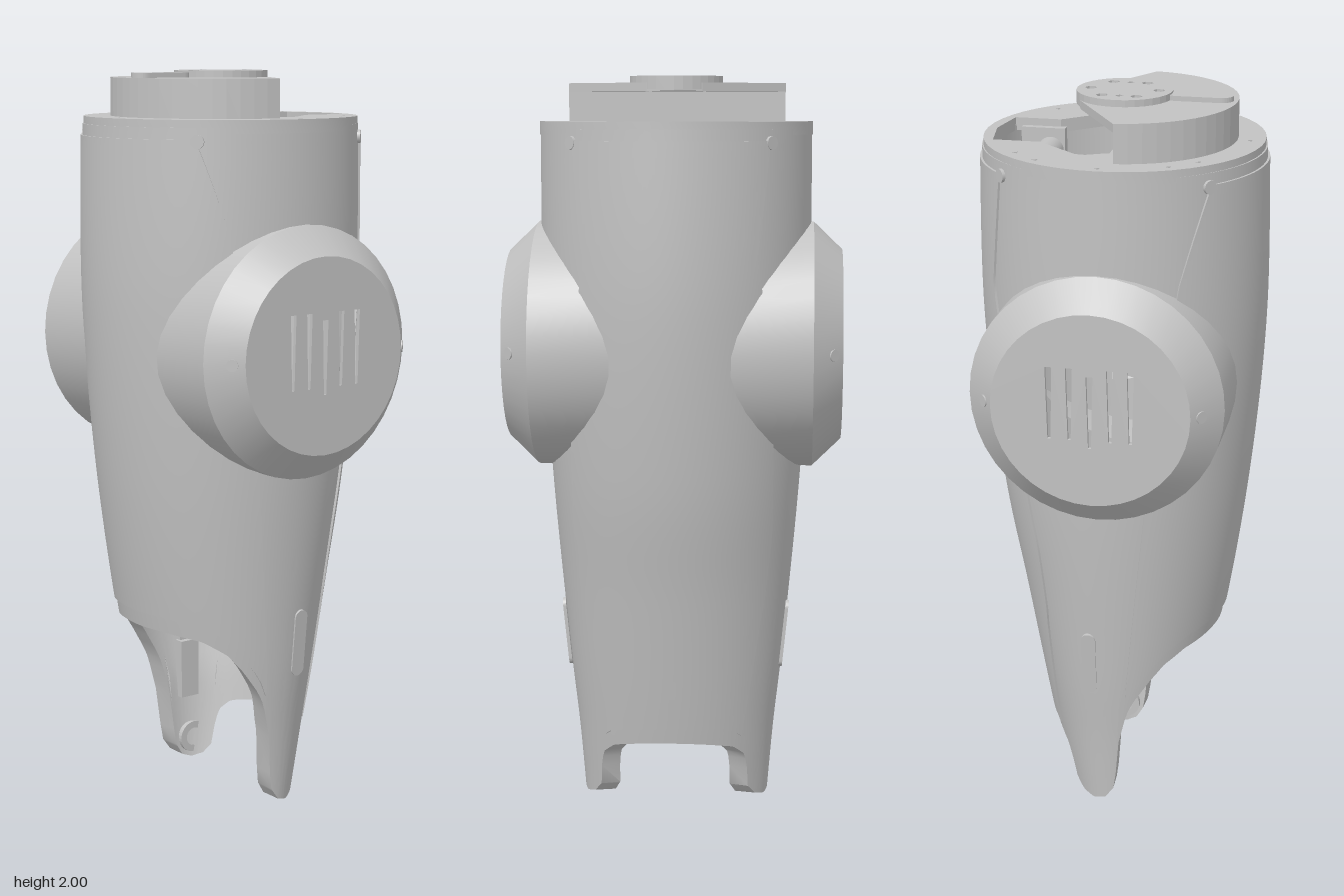
import * as THREE from 'three';
import { toCreasedNormals } from 'three/addons/utils/BufferGeometryUtils.js';

const grey = new THREE.MeshStandardMaterial({ color: 0xc2c2c2, side: THREE.DoubleSide });
grey.name = 'machined grey';

// Linear interpolation through [key, value] pairs in ascending key order
function interp(t, x) {
  if (x <= t[0][0]) return t[0][1];
  for (let i = 1; i < t.length; i++) {
    const [x0, v0] = t[i - 1], [x1, v1] = t[i];
    if (x <= x1) return v0 + (v1 - v0) * (x - x0) / (x1 - x0);
  }
  return t[t.length - 1][1];
}

// Smooth height profiles: half width, front depth, back depth
const smooth = (pts) => {
  const c = new THREE.SplineCurve(pts.map(p => new THREE.Vector2(p[0], p[1])));
  const table = c.getPoints(80).map(p => [p.x, p.y]);
  return y => interp(table, y);
};
const halfW = smooth([[0, 0.258], [0.2, 0.275], [0.45, 0.302], [0.94, 0.345], [1.4, 0.366], [1.86, 0.368]]);
const front = smooth([[0, 0.17], [0.25, 0.22], [0.5, 0.28], [0.94, 0.343], [1.4, 0.378], [1.86, 0.374]]);
const back = smooth([[0, 0.15], [0.2, 0.195], [0.6, 0.268], [0.94, 0.33], [1.4, 0.374], [1.86, 0.374]]);
// Side walls thicken toward the legs; front and back stay thin
const sideWall = y => interp([[0.25, 0.065], [0.55, 0.03]], y);
// Height of the lower edge by depth z: back skirt, leg, front arch
const edgeY = z => interp([[-0.2, 0.19], [-0.15, 0.168], [-0.125, 0.14], [-0.112, 0.1], [-0.1, 0.04], [-0.075, 0.01], [-0.04, 0],
  [-0.005, 0.01], [0.02, 0.045], [0.03, 0.12], [0.036, 0.2], [0.06, 0.3], [0.08, 0.34], [0.12, 0.4], [0.16, 0.45], [0.21, 0.485], [0.27, 0.5]], z);

function skin(th, y, offX = 0, offZ = offX) {
  const c = Math.cos(th), d = c > 0 ? front(y) : back(y);
  return [(halfW(y) + offX) * Math.sin(th), y, (d + offZ) * c];
}
function lowerEdge(th) {
  let lo = 0, hi = 0.9;
  for (let k = 0; k < 24; k++) {
    const m = (lo + hi) / 2;
    if (m < edgeY(skin(th, m)[2])) lo = m; else hi = m;
  }
  return (lo + hi) / 2;
}

// Surface from a grid of points; quads hidden inside the side hubs are left open
const insideHub = (x, y, z) => Math.abs(x) > 0.17 && Math.hypot(y - 1.275, z) < 0.24;
function grid(nu, nv, point) {
  const pos = [], idx = [];
  for (let j = 0; j <= nv; j++) for (let i = 0; i <= nu; i++) pos.push(...point(i, j));
  for (let j = 0; j < nv; j++) for (let i = 0; i < nu; i++) {
    const a = j * (nu + 1) + i, b = a + 1, c = b + nu + 1, d = a + nu + 1;
    if (insideHub(pos[a * 3], pos[a * 3 + 1], pos[a * 3 + 2])) continue;
    idx.push(a, b, c, a, c, d);
  }
  const g = new THREE.BufferGeometry();
  g.setAttribute('position', new THREE.Float32BufferAttribute(pos, 3));
  g.setIndex(idx);
  return toCreasedNormals(g, 0.5);
}

const V = (x, y) => new THREE.Vector2(x, y);
const disc = r => new THREE.Shape().absarc(0, 0, r, 0, Math.PI * 2);
function ngon(x, y, r, n) {
  const pts = [];
  for (let i = 0; i < n; i++) {
    const a = i / n * Math.PI * 2 + Math.PI / 2;
    pts.push(V(x + r * Math.cos(a), y + r * Math.sin(a)));
  }
  return new THREE.Path(pts);
}
const extrude = (s, depth, curveSegments = 24) => new THREE.ExtrudeGeometry(s, { depth, bevelEnabled: false, curveSegments });
// Horizontal plate; shape coordinates are (x, -z)
const plate = (s, y0, y1, seg) => extrude(s, y1 - y0, seg).rotateX(-Math.PI / 2).translate(0, y0, 0);

function capsule(hw, y0, y1) {
  const s = new THREE.Shape();
  s.absarc(0, y1 - hw, hw, 0, Math.PI, false);
  s.absarc(0, y0 + hw, hw, Math.PI, Math.PI * 2, false);
  return s;
}

export function createModel() {
  const root = new THREE.Group();
  root.name = 'limbLink';
  const add = (name, geo, parent = root) => {
    const m = new THREE.Mesh(geo, grey);
    m.name = name;
    parent.add(m);
    return m;
  };

  // Hollow tapered body: outside upward, inside downward, then the lower rim
  const NU = 180, NR = 44, edges = [];
  for (let i = 0; i <= NU; i++) edges.push(lowerEdge(i / NU * Math.PI * 2));
  add('bodyShell', grid(NU, NR * 2 + 2, (i, j) => {
    const th = i / NU * Math.PI * 2, e = edges[i];
    const outer = j <= NR || j === NR * 2 + 2;
    const s = j <= NR ? j / NR : outer ? 0 : (NR * 2 + 1 - j) / NR;
    const y = e + (1.86 - e) * s;
    return outer ? skin(th, y) : skin(th, y, -sideWall(y), -0.028);
  }));

  // Raised front and back covers with a thin stepped border
  const cover = (name, mid, zEdge, depth) => {
    const nu = 50, nv = 40;
    add(name, grid(nu, nv, (i, j) => {
      const border = i === 0 || j === 0 || i === nu || j === nv;
      const u = THREE.MathUtils.clamp((i - 1) / (nu - 2), 0, 1) * 2 - 1;
      const s = THREE.MathUtils.clamp((j - 1) / (nv - 2), 0, 1);
      const yn = 0.35 + 1.48 * s;
      const th = mid + u * Math.acos(Math.min(1, interp(zEdge, yn) / depth(yn)));
      const lo = lowerEdge(th) + 0.045;
      return skin(th, lo + (1.83 - lo) * s, border ? -0.004 : 0.006);
    }));
  };
  cover('frontCover', 0, [[0.4, 0.06], [0.95, 0.12], [1.55, 0.2], [1.83, 0.27]], front);
  cover('backCover', Math.PI, [[0.25, 0.16], [0.95, 0.2], [1.55, 0.3], [1.83, 0.27]], back);

  // Top rim with rear pocket and screw recesses
  const rim = disc(0.37);
  rim.holes.push(new THREE.Path([V(-0.12, 0.325), V(0, 0.345), V(0.12, 0.325), V(0.12, 0.2), V(0.22, 0.085),
    V(0.23, 0), V(-0.23, 0), V(-0.22, 0.085), V(-0.12, 0.2)]));
  for (const [x, y] of [[0.345, 0], [0.295, 0.17], [0.235, 0.235], [0.295, -0.17], [0.235, -0.235]])
    for (const s of [-1, 1]) rim.holes.push(ngon(s * x, y, 0.01, 3));
  rim.holes.push(ngon(0, -0.33, 0.01, 3));
  add('topRim', toCreasedNormals(plate(rim, 1.845, 1.88, 24), 0.5));

  // Pocket floor and crossbar
  const floor = disc(0.335);
  floor.holes.push(new THREE.Path([V(-0.095, 0.315), V(0.095, 0.315), V(0.095, 0.1), V(-0.095, 0.1)]));
  add('pocketFloor', plate(floor, 1.72, 1.74));
  add('crossbar', new THREE.CylinderGeometry(0.036, 0.036, 0.24, 24).rotateZ(Math.PI / 2).translate(0, 1.8, -0.225));
  for (const s of [-1, 1])
    add('crossbarBracket', new THREE.BoxGeometry(0.025, 0.12, 0.12).translate(s * 0.113, 1.8, -0.245));

  // Fan-shaped motor mount: base block and overhanging lid
  const base = new THREE.Shape();
  base.absarc(0, 0, 0.297, -0.1, Math.PI + 0.1, true);
  add('mountBase', plate(base, 1.87, 1.96, 12));
  const boltHoles = s => {
    for (const [x, y] of [[0, 0.09], [0, -0.09], [0.076, 0.045], [-0.076, 0.045], [0.076, -0.045], [-0.076, -0.045]])
      s.holes.push(ngon(x, y, 0.016, 6));
    for (const x of [-0.076, 0.076]) s.holes.push(ngon(x, 0, 0.011, 4));
    return s;
  };
  const lid = new THREE.Shape();
  lid.absarc(0, 0, 0.297, -0.1, Math.PI + 0.1, true);
  lid.lineTo(-0.075, 0.102);
  lid.lineTo(0, 0.122);
  lid.lineTo(0.075, 0.102);
  add('mountLid', plate(boltHoles(lid), 1.96, 1.982, 12));
  add('outputFlange', plate(boltHoles(disc(0.126)), 1.965, 2, 16));
  add('flangeTongue', plate(capsule(0.031, -0.285, -0.11), 1.975, 1.995, 8));

  // Side joint housings with vent slots
  for (const s of [1, -1]) {
    const hub = new THREE.Group();
    hub.name = s > 0 ? 'leftHub' : 'rightHub';
    hub.position.y = 1.275;
    hub.rotation.y = s > 0 ? 0 : Math.PI;
    root.add(hub);
    const profile = [V(0.335, 0.15), V(0.335, 0.375), V(0.26, 0.453)];
    add('hubHousing', toCreasedNormals(new THREE.LatheGeometry(profile, 40).rotateZ(-Math.PI / 2), 0.5), hub);
    const face = disc(0.26);
    for (let k = -2; k <= 2; k++) {
      const x = k * 0.053, y = k === 0 ? -0.02 : 0;
      face.holes.push(new THREE.Path([V(x - 0.009, y + 0.115), V(x + 0.009, y + 0.115), V(x + 0.004, y - 0.08), V(x - 0.004, y - 0.08)]));
    }
    add('ventedFace', extrude(face, 0.01, 20).rotateY(Math.PI / 2).translate(0.443, 0, 0), hub);
    // Screws lie flat on the chamfer
    for (const z of [-1, 1])
      add('hubScrew', new THREE.CylinderGeometry(0.016, 0.016, 0.008, 12).rotateZ(Math.PI / 2)
        .rotateY(-z * Math.PI / 4).translate(0.428, 0, z * 0.283), hub);

    // Long capsule inlay on the side strip
    const inlay = add('sideInlay', extrude(capsule(0.02, -0.095, 0.095), 0.009, 8).rotateY(Math.PI / 2));
    inlay.position.set(s * 0.298 - (s < 0 ? 0.009 : 0), 0.465, -0.04);
    inlay.rotation.z = -s * 0.1;

    // Inner pivot ring and bracket of each leg
    const ring = disc(0.046);
    ring.holes.push(new THREE.Path().absarc(0, 0, 0.026, 0, Math.PI * 2));
    add('pivotRing', extrude(ring, 0.02, 16).rotateY(Math.PI / 2).translate(s * 0.195 - 0.01, 0.06, -0.04));
    add('legBracket', new THREE.BoxGeometry(0.03, 0.17, 0.06).translate(s * 0.205, 0.27, -0.03));
    add('legBracketTop', new THREE.BoxGeometry(0.035, 0.08, 0.045).translate(s * 0.225, 0.39, -0.03));

    // Cover screws near the top corners
    for (const th of [0.78, Math.PI - 0.78]) {
      const p = skin(th, 1.825, 0.002);
      const screw = add('coverScrew', new THREE.CylinderGeometry(0.018, 0.018, 0.012, 12).rotateX(Math.PI / 2));
      screw.position.set(s * p[0], p[1], p[2]);
      screw.rotation.y = s * th;
    }
  }

  // Knob on the inner back wall
  add('innerKnob', new THREE.CylinderGeometry(0.04, 0.04, 0.02, 16).rotateX(Math.PI / 2).scale(1, 0.7, 1).translate(0, 0.35, -0.19));
  return root;
}
